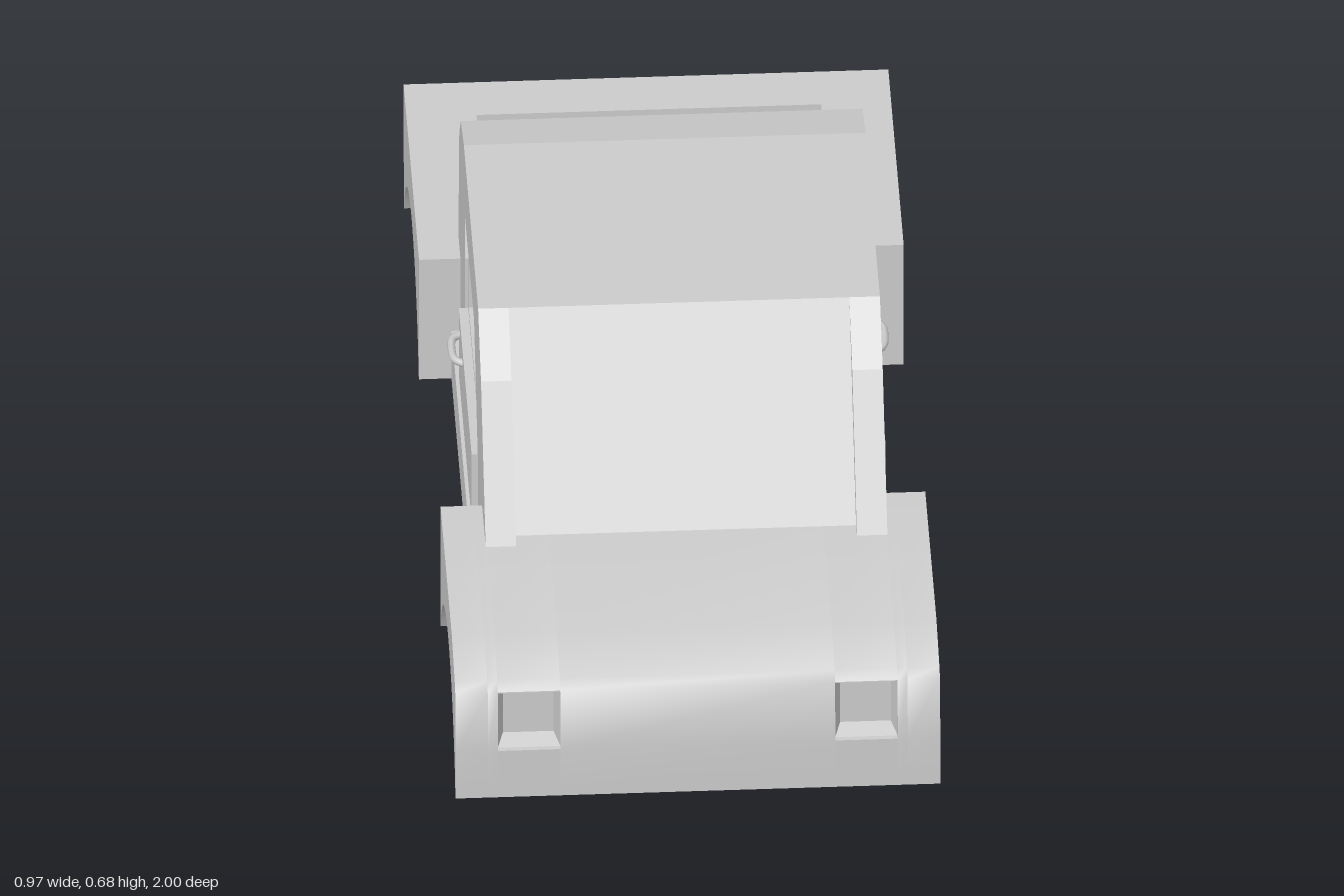
import * as THREE from 'three';
import { toCreasedNormals } from 'three/addons/utils/BufferGeometryUtils.js';

const material = new THREE.MeshStandardMaterial({ color: 0xcccccc });
const thin = new THREE.MeshStandardMaterial({ color: 0xcccccc, side: THREE.DoubleSide });
const toV2 = ([z, y]) => new THREE.Vector2(-z, y);

export function createModel() {
  const model = new THREE.Group();

  const add = (name, geometry, mat = material) => {
    const mesh = new THREE.Mesh(geometry, mat);
    mesh.name = name;
    model.add(mesh);
    return mesh;
  };

  // Side profile of [z, y] points, extruded across x from x0 to x1
  const slab = (name, profile, x0, x1, { hole, crease = 0 } = {}) => {
    const shape = new THREE.Shape(profile.map(toV2));
    if (hole) shape.holes.push(new THREE.Path(hole.map(toV2)));
    let geometry = new THREE.ExtrudeGeometry(shape, { depth: x1 - x0, bevelEnabled: false });
    geometry.rotateY(Math.PI / 2).translate(x0, 0, 0);
    if (crease) geometry = toCreasedNormals(geometry, crease);
    return add(name, geometry);
  };
  const bothSides = (name, profile, x0, x1, options) => {
    slab('left' + name, profile, x0, x1, options);
    slab('right' + name, profile, -x1, -x0, options);
  };

  // Wheel arch points between two z values, 0.19 high
  const arch = (z0, z1) => {
    const half = Math.abs(z1 - z0) / 2, mid = (z0 + z1) / 2, h = 0.19;
    const r = (half * half + h * h) / (2 * h), a = Math.asin(half / r);
    return Array.from({ length: 17 }, (_, i) => {
      const t = a * (i / 8 - 1);
      return [mid + Math.sign(z1 - z0) * r * Math.sin(t), r * Math.cos(t) - r + h];
    });
  };

  // Bonnet and nose, with pockets for the headlights
  const lowerNose = [[0.42, 0], [1, 0], [1, 0.115]];
  const upperNose = [[0.986, 0.25], [0.965, 0.265], [0.85, 0.297], [0.42, 0.297]];
  const nose = [...lowerNose, ...upperNose];
  const pocket = [...lowerNose, [0.955, 0.115], [0.955, 0.25], ...upperNose];
  const crease = 1.15;
  slab('bonnet', nose, -0.275, 0.275, { crease });
  bothSides('HeadlightPocket', pocket, 0.275, 0.4, { crease });
  bothSides('BonnetEdge', nose, 0.4, 0.42, { crease });
  bothSides('FrontFender', [...arch(0.42, 0.992), ...nose.slice(1)], 0.42, 0.485, { crease });

  // Sloping headlight surrounds
  for (const side of [1, -1]) {
    const funnel = new THREE.CylinderGeometry(Math.SQRT2, 0.8 * Math.SQRT2, 1, 4, 1, true, Math.PI / 4)
      .toNonIndexed();
    funnel.computeVertexNormals();
    funnel.scale(0.0625, 0.036, 0.0675).rotateX(Math.PI / 2);
    add('headlightSurround', funnel, thin).position.set(side * 0.3375, 0.1825, 0.971);
  }

  // Load bed with its sunken floor, side rails and rear fenders
  const tail = [[-0.94, 0], [-0.975, 0.04], [-0.993, 0.04], [-1, 0.297]];
  slab('loadBed', [[-0.41, 0], [-0.41, 0.297], [-0.49, 0.297], [-0.49, 0.2],
    [-0.89, 0.2], [-0.89, 0.297], ...tail.slice().reverse()], -0.345, 0.345);
  bothSides('BedRail', [[-0.41, 0], ...tail, [-0.41, 0.297]], 0.345, 0.42);
  bothSides('RearFender', [...arch(-0.42, -0.985), [-0.993, 0], [-1, 0.297], [-0.41, 0.297], [-0.41, 0]],
    0.42, 0.485, { crease: 0.4 });

  // Sill running between the fenders
  slab('sill', [[0.42, 0], [0.42, 0.118], [-0.41, 0.118], [-0.41, 0]], -0.42, 0.42);

  // Cab: centre section with set-back windscreen, outer sides with door openings
  const rear = [[-0.28, 0.675], [-0.395, 0.65], [-0.455, 0.58], [-0.49, 0.29],
    [-0.41, 0.29], [-0.41, 0.05], [0.42, 0.05], [0.42, 0.29]];
  slab('cabAndWindscreen', [[0.53, 0.29], [0.27, 0.675], ...rear], -0.341, 0.341);
  const doorOpening = [[0.255, 0.12], [0.255, 0.3], [0.113, 0.532], [-0.225, 0.532], [-0.243, 0.515], [-0.243, 0.12]];
  bothSides('CabSide', [[0.565, 0.29], [0.38, 0.575], [0.27, 0.675], ...rear], 0.341, 0.402, { hole: doorOpening });

  // Doors: lower panel, window frame and set-back pane
  bothSides('DoorPanel', [[0.25, 0.135], [0.25, 0.298], [-0.243, 0.298], [-0.243, 0.135]], 0.341, 0.414);
  bothSides('DoorFoot', [[0.25, 0.122], [0.25, 0.135], [-0.243, 0.135], [-0.243, 0.122]], 0.341, 0.406);
  const opening = [[0.248, 0.298], [0.109, 0.526], [-0.222, 0.526], [-0.239, 0.511], [-0.239, 0.298]];
  const pane = [[0.222, 0.31], [0.1, 0.511], [-0.212, 0.511], [-0.224, 0.5], [-0.224, 0.31]];
  bothSides('WindowFrame', opening, 0.341, 0.395, { hole: pane });
  bothSides('WindowPane', opening, 0.341, 0.382);

  // Door handles
  for (const side of [1, -1]) {
    const path = new THREE.CatmullRomCurve3(
      [[0.408, -0.1], [0.427, -0.115], [0.432, -0.13], [0.432, -0.178], [0.427, -0.19], [0.408, -0.203]]
        .map(([x, z]) => new THREE.Vector3(side * x, 0.264, z)));
    add('doorHandle', new THREE.TubeGeometry(path, 20, 0.008, 8));
  }

  return model;
}
